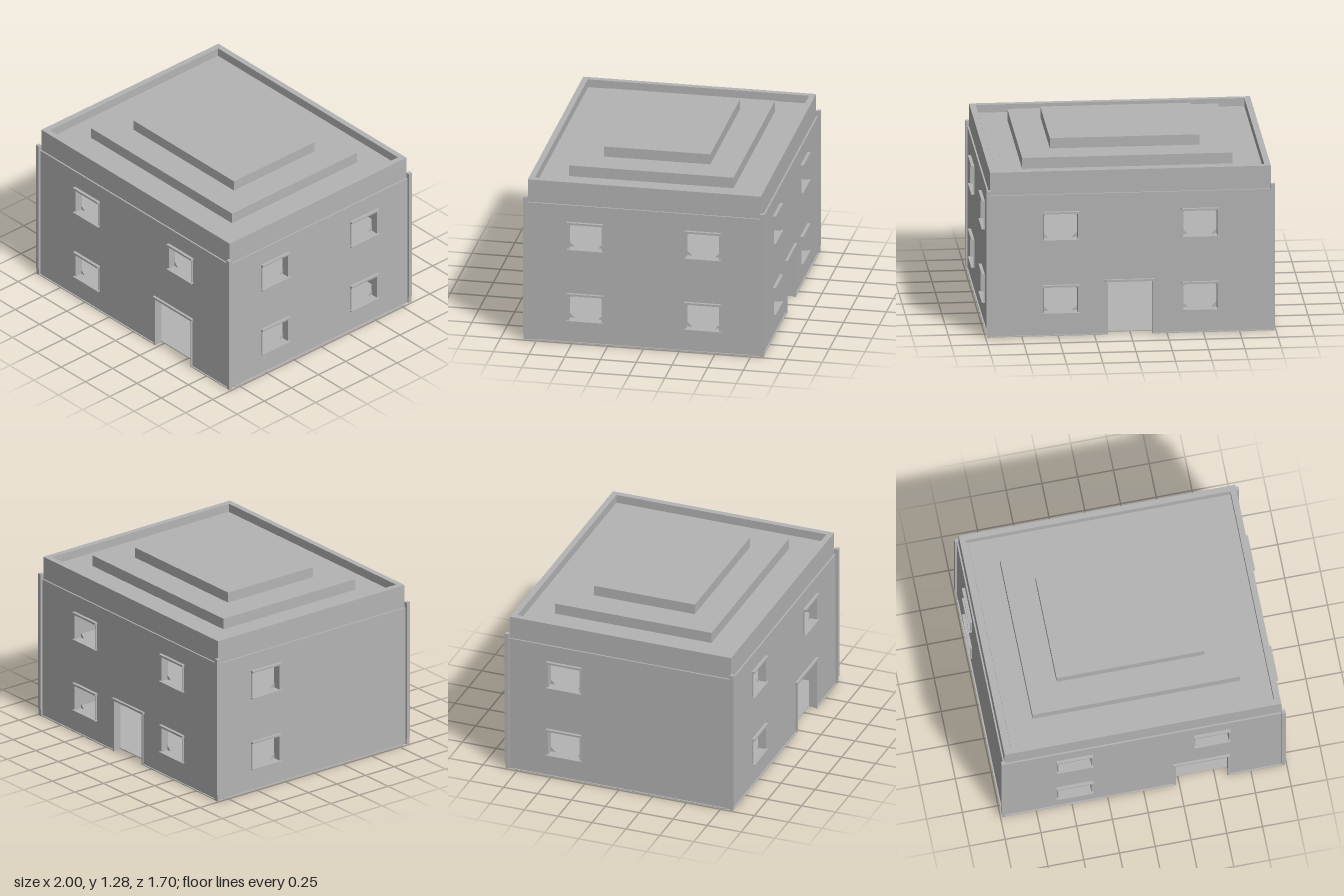
import * as THREE from 'three';

const X = 0.978, Z = 0.826;          // outer wall faces
const T = 0.05;                      // wall thickness
const TOP = 1.012;                   // wall height
const LOW = [0.165, 0.35], HIGH = [0.69, 0.876];
const HALF = 0.116;                  // half window width

export function createModel() {
  const model = new THREE.Group();
  const grey = new THREE.MeshStandardMaterial({ color: 0xb4b4b4 });

  function add(parent, name, geometry) {
    const mesh = new THREE.Mesh(geometry, grey);
    mesh.name = name;
    parent.add(mesh);
    return mesh;
  }
  // Box given by its minimum and maximum on each axis
  function box(parent, name, x0, x1, y0, y1, z0, z1) {
    const mesh = add(parent, name, new THREE.BoxGeometry(x1 - x0, y1 - y0, z1 - z0));
    mesh.position.set((x0 + x1) / 2, (y0 + y1) / 2, (z0 + z1) / 2);
    return mesh;
  }
  const vectors = (points) => points.map(([x, y]) => new THREE.Vector2(x, y));
  const rect = (x0, x1, y0, y1) => vectors([[x0, y0], [x1, y0], [x1, y1], [x0, y1]]);

  // Wall facing local +z, with window holes, a door notch and trim
  function wall(name, half, distance, angle, windows, door) {
    const group = new THREE.Group();
    group.name = name;
    const outline = [[-half, 0]];
    if (door) outline.push([door[0], 0], [door[0], 0.378], [door[1], 0.378], [door[1], 0]);
    outline.push([half, 0], [half, TOP], [-half, TOP]);
    const shape = new THREE.Shape(vectors(outline));
    for (const [cx, [y0, y1]] of windows) {
      const x0 = cx - HALF, x1 = cx + HALF;
      shape.holes.push(new THREE.Path(rect(x0, x1, y0, y1)));
      const d = distance;
      box(group, 'windowLintel', x0 - 0.012, x1 + 0.012, y1, y1 + 0.014, d - 0.01, d + 0.022);
      box(group, 'windowSill', x0 - 0.012, x1 + 0.012, y0 - 0.006, y0, d - 0.01, d + 0.022);
      for (const s of [-1, 1]) {
        const jx = cx + s * (HALF + 0.003);
        box(group, 'windowJamb', jx - 0.003, jx + 0.003, y0, y1, d - 0.01, d + 0.008);
      }
      // Small corner braces at the inner face of the opening
      for (const s of [-1, 1]) for (const t of [-1, 1]) {
        const cy = t < 0 ? y0 : y1, ex = cx + s * HALF;
        const brace = new THREE.Shape(vectors([[ex, cy], [ex - s * 0.035, cy], [ex, cy - t * 0.035]]));
        const mesh = add(group, 'windowCornerBrace',
          new THREE.ExtrudeGeometry(brace, { depth: 0.004, bevelEnabled: false }));
        mesh.position.z = d - T;
      }
    }
    const panel = add(group, 'wallPanel',
      new THREE.ExtrudeGeometry(shape, { depth: T, bevelEnabled: false }));
    panel.position.z = distance - T;
    // Door surround
    if (door) {
      const [a, b] = door;
      box(group, 'doorLintel', a - 0.016, b + 0.01, 0.378, 0.393, distance - 0.01, distance + 0.018);
      for (const x of [a, b]) {
        box(group, 'doorJamb', x - 0.006, x + 0.003, 0, 0.378, distance - 0.01, distance + 0.012);
      }
    }
    // Thin base ledge, broken at the door
    const spans = door ? [[-half, door[0]], [door[1], half]] : [[-half, half]];
    for (const [a, b] of spans) {
      box(group, 'baseLedge', a, b, 0, 0.006, distance - 0.01, distance + 0.01);
    }
    group.rotation.y = angle;
    model.add(group);
  }

  const wide = 0.48, deep = 0.41;
  wall('frontWall', X, Z, 0, [[-wide, LOW], [-wide, HIGH], [wide, HIGH]], [0.223, 0.595]);
  wall('backWall', X, Z, Math.PI,
    [[-wide, LOW], [-wide, HIGH], [wide, LOW], [wide, HIGH]], [-0.16, 0.155]);
  wall('leftWall', Z - T, X, Math.PI / 2,
    [[-deep, LOW], [-deep, HIGH], [deep, LOW], [deep, HIGH]]);
  wall('rightWall', Z - T, X, -Math.PI / 2, [[-deep, LOW], [-deep, HIGH]]);

  // Corner posts on slightly slimmer feet
  for (const sx of [-1, 1]) for (const sz of [-1, 1]) {
    const post = box(model, 'cornerPost', -0.014, 0.014, 0.05, 1.052, -0.014, 0.014);
    post.position.x = sx * 0.979;
    post.position.z = sz * 0.829;
    const foot = box(model, 'cornerFoot', -0.012, 0.012, 0, 0.05, -0.012, 0.012);
    foot.position.x = sx * 0.977;
    foot.position.z = sz * 0.827;
  }

  // Ground floor and upper floor
  const ix = X - T, iz = Z - T;
  box(model, 'groundFloor', -ix, ix, 0.002, 0.008, -iz, iz);
  box(model, 'upperFloor', -ix, ix, 0.5, 0.54, -iz, iz);

  // Parapet ring
  const ring = new THREE.Shape(rect(-0.967, 0.967, -0.815, 0.815));
  ring.holes.push(new THREE.Path(rect(-0.925, 0.925, -0.774, 0.774)));
  const parapet = add(model, 'parapet',
    new THREE.ExtrudeGeometry(ring, { depth: 1.176 - 1.008, bevelEnabled: false }));
  parapet.rotation.x = -Math.PI / 2;
  parapet.position.y = 1.008;

  // Roof and its stepped tiers
  box(model, 'roofSlab', -0.926, 0.926, 1.01, 1.115, -0.775, 0.775);
  box(model, 'roofDeck', -0.91, 0.91, 1.11, 1.125, -0.758, 0.758);
  box(model, 'lowerRoofTier', -0.725, 0.725, 1.12, 1.203, -0.576, 0.576);
  box(model, 'upperRoofTier', -0.516, 0.516, 1.2, 1.277, -0.371, 0.371);

  return model;
}
